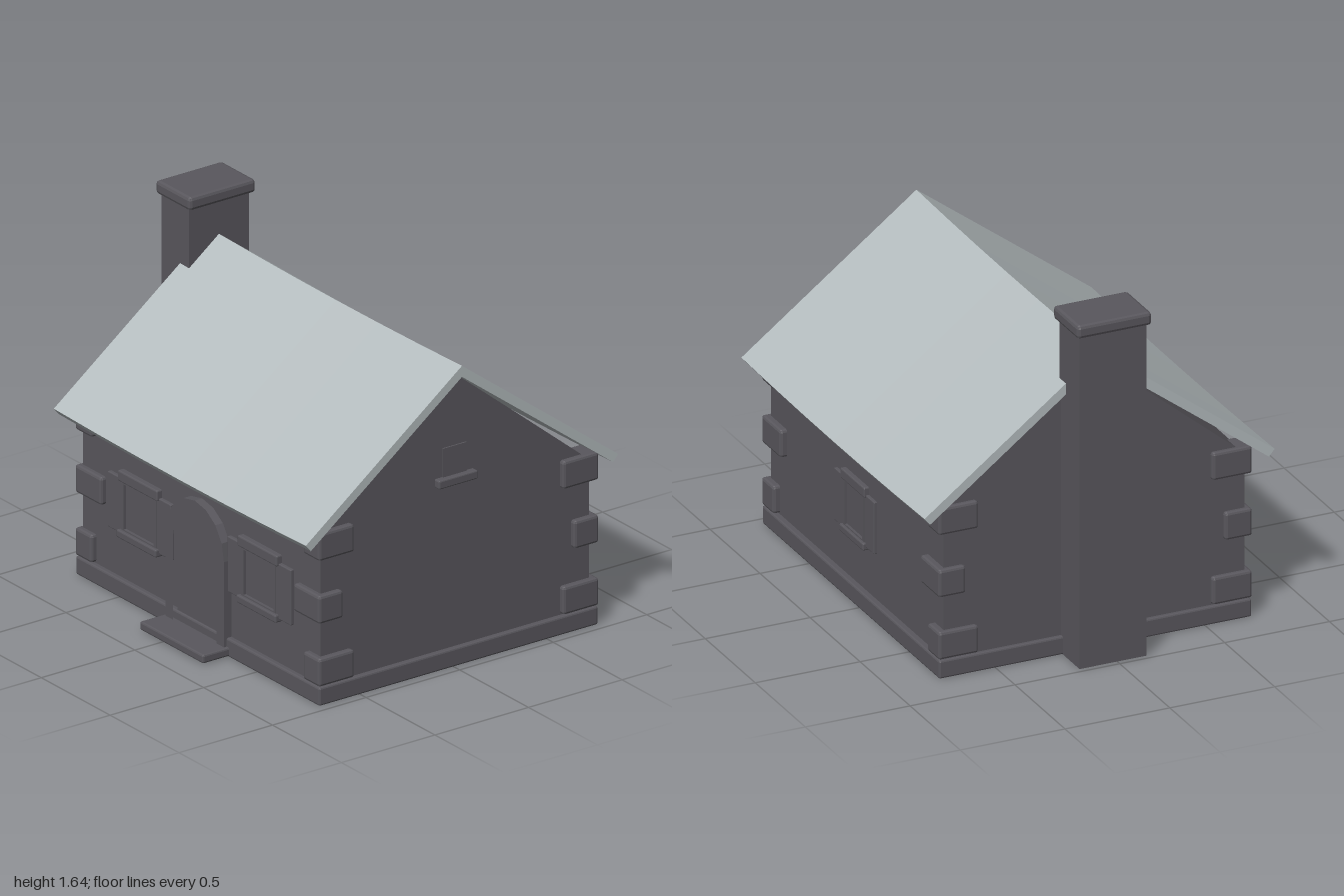
import * as THREE from 'three';
import { RoundedBoxGeometry } from 'three/addons/geometries/RoundedBoxGeometry.js';

export function createModel() {
  const stone = new THREE.MeshStandardMaterial({ color: 0x59575d, flatShading: true });
  stone.name = 'dark stone';
  const slate = new THREE.MeshStandardMaterial({ color: 0xb4bcbe, flatShading: true });
  slate.name = 'pale roof';

  const model = new THREE.Group();
  model.name = 'cottage';

  const add = (name, geometry, material = stone, parent = model) => {
    const mesh = new THREE.Mesh(geometry, material);
    mesh.name = name;
    parent.add(mesh);
    return mesh;
  };
  // Box given by its limits on each axis, optionally with chamfered edges
  const block = (name, [x0, x1], [y0, y1], [z0, z1], bevel = 0, parent = model) => {
    const size = [x1 - x0, y1 - y0, z1 - z0];
    const geometry = bevel ? new RoundedBoxGeometry(...size, 1, bevel) : new THREE.BoxGeometry(...size);
    geometry.translate((x0 + x1) / 2, (y0 + y1) / 2, (z0 + z1) / 2);
    return add(name, geometry, stone, parent);
  };
  // Outline in (z, y) extruded along x
  const extrudeX = (points, x0, x1, steps = 1) => {
    const shape = new THREE.Shape(points.map(([z, y]) => new THREE.Vector2(-z, y)));
    const geometry = new THREE.ExtrudeGeometry(shape, { depth: x1 - x0, steps, bevelEnabled: false });
    return geometry.rotateY(Math.PI / 2).translate(x0, 0, 0);
  };

  const midX = 0.075, midZ = -0.025;

  // Plinth and gabled walls
  block('plinth', [-0.81, 0.96], [0, 0.085], [-0.77, 0.72], 0.008);
  add('walls', extrudeX([
    [0.695, 0.05], [0.695, 0.775], [0.25, 1.145], [-0.02, 1.365],
    [-0.29, 1.145], [-0.74, 0.775], [-0.74, 0.05],
  ], -0.79, 0.935));

  // Roof with a gentle sag along the ridge
  const roof = extrudeX([
    [-0.02, 1.42], [-0.855, 0.79], [-0.828, 0.758],
    [-0.02, 1.368], [0.788, 0.758], [0.815, 0.79],
  ], -0.84, 0.99, 6);
  const pos = roof.attributes.position;
  for (let i = 0; i < pos.count; i++) {
    const t = (pos.getX(i) - midX) / 0.915;
    pos.setY(i, pos.getY(i) - 0.013 * (1 - t * t));
  }
  add('roof', roof, slate);

  // Chimney
  block('chimneyShaft', [-0.975, -0.775], [0, 1.59], [-0.18, 0.14]);
  block('chimneyCap', [-1, -0.75], [1.575, 1.637], [-0.2, 0.155], 0.015);

  // Corner stones, alternating long side by row
  const rows = [[0.09, 0.22, 0.12, 0.19], [0.385, 0.515, 0.19, 0.13], [0.68, 0.81, 0.12, 0.19]];
  for (const [y0, y1, w, d] of rows) {
    for (const sx of [-1, 1]) for (const sz of [-1, 1]) {
      const x = midX + sx * (0.888 - w / 2), z = midZ + sz * (0.748 - d / 2);
      block('cornerStone', [x - w / 2, x + w / 2], [y0, y1], [z - d / 2, z + d / 2], 0.012);
    }
  }

  // Arched door: outline of half-width r, springing at y = spring
  const arch = (Type, r, spring, rise, bottom) => {
    const points = [new THREE.Vector2(-r, bottom)];
    for (let i = 0; i <= 8; i++) {
      const a = Math.PI * (1 - i / 8);
      points.push(new THREE.Vector2(r * Math.cos(a), spring + rise * Math.sin(a)));
    }
    points.push(new THREE.Vector2(r, bottom));
    return new Type(points);
  };
  const door = new THREE.Group();
  door.name = 'door';
  door.position.set(midX, 0, 0);
  model.add(door);
  const frame = arch(THREE.Shape, 0.212, 0.445, 0.215, 0.02);
  frame.holes.push(arch(THREE.Path, 0.157, 0.445, 0.16, 0.04));
  add('doorFrame', new THREE.ExtrudeGeometry(frame, { depth: 0.06, bevelEnabled: false }).translate(0, 0, 0.675), stone, door);
  const leaf = arch(THREE.Shape, 0.16, 0.445, 0.163, 0.03);
  add('doorLeaf', new THREE.ExtrudeGeometry(leaf, { depth: 0.035, bevelEnabled: false }).translate(0, 0, 0.675), stone, door);
  block('doorStep', [-0.23, 0.23], [0.005, 0.045], [0.68, 0.86], 0.008, door);

  // Shuttered window, wall plane at z = 0, facing +z
  const makeWindow = (name, w) => {
    const g = new THREE.Group();
    g.name = name;
    const h = w / 2, y = 0.118;
    const ring = new THREE.Shape([[-h, -y], [h, -y], [h, y], [-h, y]].map(p => new THREE.Vector2(...p)));
    const a = h - 0.016, b = y - 0.012;
    ring.holes.push(new THREE.Path([[-a, -b], [-a, b], [a, b], [a, -b]].map(p => new THREE.Vector2(...p))));
    add('windowFrame', new THREE.ExtrudeGeometry(ring, { depth: 0.04, bevelEnabled: false }).translate(0, 0, -0.02), stone, g);
    block('windowPane', [-a, a], [-b, b], [-0.01, 0.006], 0, g);
    block('lintel', [-h - 0.018, h + 0.018], [0.115, 0.165], [-0.02, 0.028], 0.006, g);
    block('sill', [-h - 0.018, h + 0.018], [-0.148, -0.112], [-0.02, 0.035], 0.006, g);
    for (const s of [-1, 1]) {
      const x = s * (h + 0.05);
      block('shutter', [x - 0.055, x + 0.055], [-0.133, 0.127], [-0.02, 0.017], 0.004, g);
    }
    model.add(g);
    return g;
  };
  makeWindow('frontWindowRight', 0.25).position.set(midX - 0.435, 0.433, 0.695);
  makeWindow('frontWindowLeft', 0.25).position.set(midX + 0.435, 0.433, 0.695);
  const back = makeWindow('backWindow', 0.22);
  back.position.set(midX, 0.428, -0.74);
  back.rotation.y = Math.PI;
  back.scale.set(0.93, 0.95, 0.85);

  // Small attic window in the left gable
  block('atticPane', [0.9, 0.942], [0.885, 1.03], [-0.08, 0.045]);
  block('atticSill', [0.9, 0.968], [0.855, 0.895], [-0.122, 0.085], 0.006);

  return model;
}
